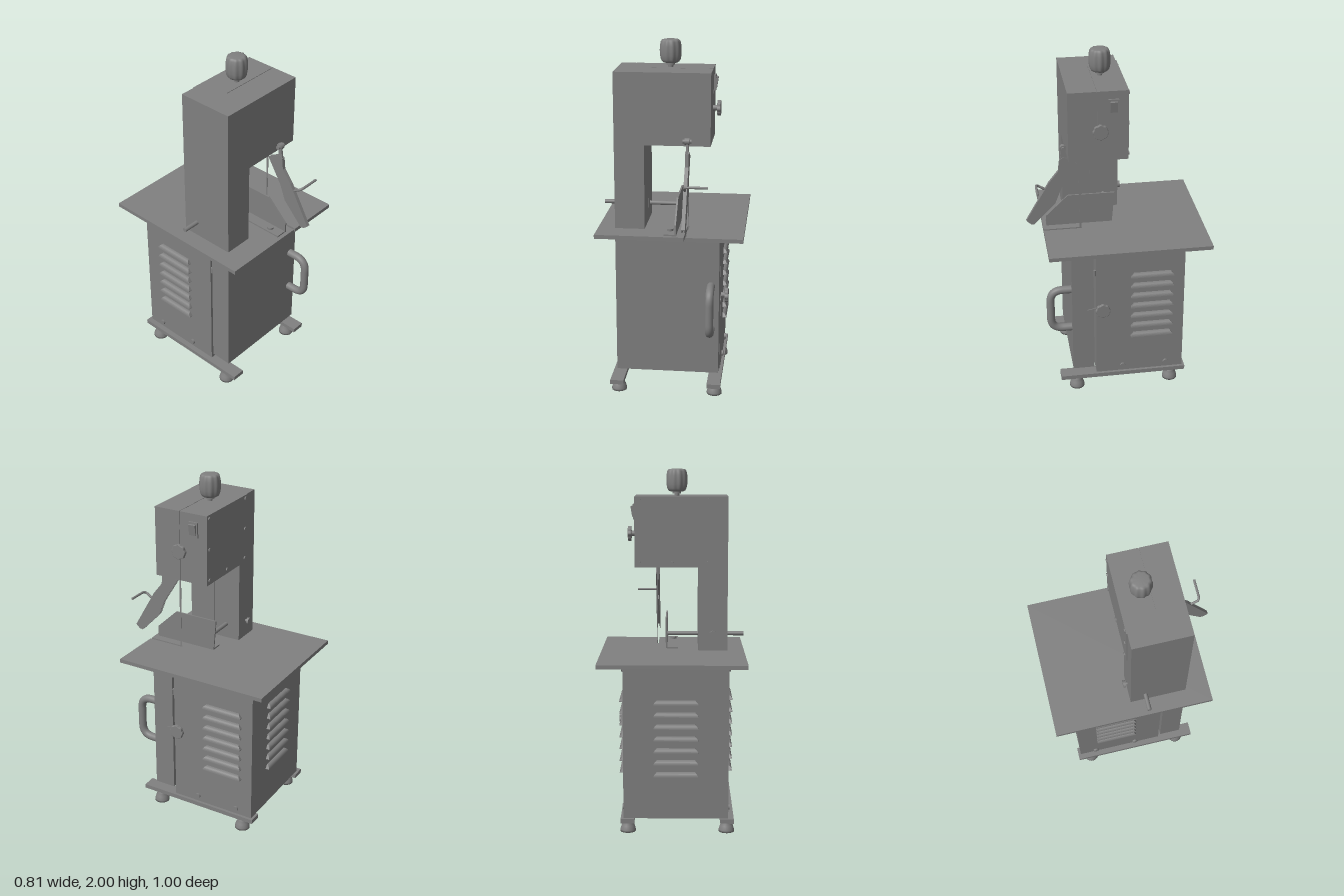
import * as THREE from 'three';

const mat = new THREE.MeshStandardMaterial({ color: 0x808080, side: THREE.DoubleSide });

export function createModel() {
  const root = new THREE.Group();
  const add = (name, geo, x = 0, y = 0, z = 0) => {
    const m = new THREE.Mesh(geo, mat);
    m.name = name;
    m.position.set(x, y, z);
    root.add(m);
    return m;
  };
  // box given by its limits on each axis
  const box = (name, x0, x1, y0, y1, z0, z1) =>
    add(name, new THREE.BoxGeometry(x1 - x0, y1 - y0, z1 - z0), (x0 + x1) / 2, (y0 + y1) / 2, (z0 + z1) / 2);
  // cylinder along a chosen axis, centred on the point
  const rod = (name, axis, r, len, x, y, z, sides = 20) => {
    const g = new THREE.CylinderGeometry(r, r, len, sides);
    if (axis === 'x') g.rotateZ(Math.PI / 2);
    if (axis === 'z') g.rotateX(Math.PI / 2);
    return add(name, g, x, y, z);
  };
  const shapeOf = pts => new THREE.Shape(pts.map(p => new THREE.Vector2(p[0], p[1])));
  const extrude = (shape, depth, extra = {}) =>
    new THREE.ExtrudeGeometry(shape, { depth, bevelEnabled: false, curveSegments: 8, ...extra });
  // outline in (z, y), extruded along +x
  const sidePlate = (name, pts, x, depth) => {
    const g = extrude(shapeOf(pts.map(([z, y]) => [-z, y])), depth);
    g.rotateY(Math.PI / 2);
    return add(name, g, x, 0, 0);
  };

  // Table with blade slot open to the front edge
  const table = extrude(shapeOf([[-0.405, -0.405], [0.085, -0.405], [0.085, -0.19], [0.097, -0.19],
    [0.097, -0.405], [0.405, -0.405], [0.405, 0.5], [-0.405, 0.5]]), 0.022);
  table.rotateX(-Math.PI / 2);
  add('table', table, 0, 0.96, 0);

  // Cabinet and front door, parted by an open gap bridged by hinges and a latch
  box('cabinet', -0.31, 0.27, 0.095, 0.96, -0.375, 0.135);
  box('cabinetDoor', -0.31, 0.27, 0.136, 0.955, 0.148, 0.272);
  box('slotRail', 0.01, 0.273, 0.94, 0.96, 0.15, 0.275);
  for (const x of [-0.304, 0.264]) rod('doorHinge', 'y', 0.008, 0.035, x, 0.78, 0.142, 10);
  box('doorLatch', 0.268, 0.274, 0.542, 0.548, 0.1, 0.185).rotation.x = 0.2;

  // Louvres: curved top, flat underside
  const hood = new THREE.Shape();
  hood.moveTo(0, 0);
  hood.lineTo(0.023, 0);
  hood.quadraticCurveTo(0.021, 0.022, 0, 0.024);
  const louvre = extrude(hood, 0.245);
  louvre.translate(0, -0.012, -0.1225);
  // round the upper corners of both ends
  const lp = louvre.attributes.position;
  for (let i = 0; i < lp.count; i++) {
    const t = (lp.getY(i) + 0.012) / 0.024;
    lp.setZ(i, lp.getZ(i) - Math.sign(lp.getZ(i)) * 0.018 * t * t);
  }
  louvre.computeVertexNormals();
  for (let i = 0; i < 7; i++) {
    const y = 0.35 + i * 0.0672;
    add('rightLouvre', louvre, 0.27, y, -0.187);
    add('leftLouvre', louvre, -0.31, y, -0.14).rotation.y = Math.PI;
    add('backLouvre', louvre, -0.02, y, -0.375).rotation.y = Math.PI / 2;
  }

  // Cabinet side screws
  for (const y of [0.13, 0.92]) for (const z of [-0.02, -0.275]) {
    rod('cabinetScrew', 'x', 0.016, 0.012, 0.275, y, z, 16);
    rod('cabinetScrew', 'x', 0.016, 0.012, -0.315, y, z, 16);
  }

  // Base rails with feet and bolts
  const foot = new THREE.LatheGeometry([[0, 0], [0.043, 0], [0.043, 0.012], [0.036, 0.035], [0.027, 0.05],
    [0.025, 0.07], [0, 0.07]].map(p => new THREE.Vector2(...p)), 24);
  for (const x of [-0.303, 0.248]) {
    box('baseRail', x - 0.038, x + 0.038, 0.07, 0.095, -0.39, 0.345);
    for (const z of [0.25, -0.307]) add('foot', foot, x, 0, z);
    for (const z of [0.09, 0.03]) rod('railBolt', 'y', 0.02, 0.014, x, 0.064, z, 6);
  }

  // Door handle
  const path = new THREE.CurvePath();
  const V = (y, z) => new THREE.Vector3(0.225, y, z);
  path.add(new THREE.LineCurve3(V(0.661, 0.265), V(0.661, 0.32)));
  path.add(new THREE.QuadraticBezierCurve3(V(0.661, 0.32), V(0.661, 0.391), V(0.59, 0.391)));
  path.add(new THREE.LineCurve3(V(0.59, 0.391), V(0.476, 0.391)));
  path.add(new THREE.QuadraticBezierCurve3(V(0.476, 0.391), V(0.405, 0.391), V(0.405, 0.32)));
  path.add(new THREE.LineCurve3(V(0.405, 0.32), V(0.405, 0.265)));
  add('doorHandle', new THREE.TubeGeometry(path, 60, 0.023, 16));

  // Upper frame: column and wheel head, front and rear halves with a seam
  const frame = shapeOf([[-0.31, 0.98], [-0.145, 0.98], [-0.145, 1.455], [0.215, 1.455], [0.215, 1.85], [-0.31, 1.85]]);
  add('frameRear', extrude(frame, 0.163), 0, 0, -0.05);
  add('frameFront', extrude(frame, 0.154), 0, 0, 0.116);
  box('frameJoint', -0.31, -0.147, 0.98, 1.85, 0.112, 0.118);
  box('seamFill', -0.2, 0.211, 1.459, 1.846, 0.112, 0.118);

  // Rear cover with screws
  box('rearCover', -0.225, 0.215, 1.455, 1.85, -0.055, -0.05);
  for (const x of [-0.195, 0.19]) for (const y of [1.48, 1.655, 1.83])
    rod('coverScrew', 'z', 0.011, 0.008, x, y, -0.057, 12);
  rod('coverScrew', 'z', 0.011, 0.008, 0.005, 1.48, -0.057, 12);

  // Lobed side knobs
  const star = new THREE.Shape();
  for (let i = 0; i <= 64; i++) {
    const a = i / 64 * Math.PI * 2, r = 0.038 + 0.002 * Math.cos(8 * a);
    if (i) star.lineTo(r * Math.cos(a), r * Math.sin(a));
    else star.moveTo(r, 0);
  }
  const sideKnob = extrude(star, 0.014, { bevelEnabled: true, bevelSize: 0.003, bevelThickness: 0.003, bevelSegments: 2 });
  sideKnob.rotateY(Math.PI / 2);
  for (const [x, y] of [[0.215, 1.635], [0.27, 0.547]]) {
    add('lockKnob', sideKnob, x + 0.026, y, 0.1);
    rod('lockKnobStem', 'x', 0.015, 0.03, x + 0.012, y, 0.1);
  }

  // Fluted tension knob on top
  const tension = new THREE.LatheGeometry([[0, 0], [0.038, 0], [0.046, 0.005], [0.053, 0.018], [0.057, 0.04], [0.058, 0.065],
    [0.057, 0.09], [0.053, 0.112], [0.047, 0.122], [0.038, 0.125], [0, 0.125]].map(p => new THREE.Vector2(...p)), 80);
  const tp = tension.attributes.position;
  for (let i = 0; i < tp.count; i++) {
    const k = 1 + 0.035 * Math.cos(10 * Math.atan2(tp.getZ(i), tp.getX(i)));
    tp.setXYZ(i, tp.getX(i) * k, tp.getY(i), tp.getZ(i) * k);
  }
  tension.computeVertexNormals();
  add('tensionKnob', tension, -0.022, 1.875, 0.067);
  rod('tensionCollar', 'y', 0.024, 0.014, -0.022, 1.87, 0.067);
  rod('tensionStem', 'y', 0.014, 0.03, -0.022, 1.86, 0.067);

  // Power switch
  box('switchFrame', 0.215, 0.225, 1.72, 1.806, -0.002, 0.054);
  box('switchRocker', 0.222, 0.234, 1.735, 1.795, 0.006, 0.046).rotation.z = -0.15;

  // Saw blade
  box('blade', 0.0895, 0.0915, 0.962, 1.46, 0.191, 0.202);

  // Fence with foot, clamp screw and sliding rod
  sidePlate('fence', [[0.385, 0.983], [0.385, 1.045], [0.26, 1.165], [-0.005, 1.165], [0.01, 0.983]], 0.032, 0.009);
  box('fenceFoot', -0.028, 0.034, 0.982, 0.99, 0.01, 0.383);
  rod('fenceScrew', 'y', 0.018, 0.012, 0, 0.996, 0.305);
  rod('fenceRod', 'x', 0.012, 0.44, -0.185, 1.067, 0.035);
  rod('rodLockStem', 'z', 0.009, 0.02, -0.227, 1.077, -0.055);
  rod('rodLockKnob', 'z', 0.02, 0.014, -0.227, 1.077, -0.068);

  // Swinging pusher arm: channel made of two cheeks and a web
  const arm = [[0.307, 1.417], [0.285, 1.432], [0.21, 1.39], [0.30, 1.245], [0.335, 1.155],
    [0.455, 1.03], [0.475, 1.032], [0.5, 1.055], [0.37, 1.28], [0.315, 1.35]];
  sidePlate('armCheek', arm, 0.081, 0.004);
  sidePlate('armCheek', arm, 0.097, 0.004);
  sidePlate('armWeb', [[0.307, 1.417], [0.315, 1.35], [0.37, 1.28], [0.5, 1.055], [0.492, 1.05],
    [0.362, 1.276], [0.307, 1.346], [0.299, 1.417]], 0.081, 0.02);

  // Pivot joining the arm to the head
  rod('pivotPin', 'x', 0.011, 0.048, 0.09, 1.485, 0.285);
  rod('pivotBoss', 'x', 0.018, 0.026, 0.09, 1.485, 0.285);
  box('pivotBracket', 0.08, 0.1, 1.473, 1.497, 0.268, 0.285);
  sidePlate('pivotLink', [[0.292, 1.49], [0.272, 1.48], [0.28, 1.4], [0.305, 1.4]], 0.086, 0.01);

  // Bent arm handle
  const grip = new THREE.CatmullRomCurve3([[0.09, 1.225, 0.365], [0.09, 1.25, 0.405], [0.092, 1.266, 0.43],
    [0.102, 1.271, 0.438], [0.13, 1.272, 0.44], [0.215, 1.272, 0.44]].map(p => new THREE.Vector3(...p)));
  add('armHandle', new THREE.TubeGeometry(grip, 40, 0.007, 10));
  rod('armHandleTip', 'x', 0.007, 0.002, 0.215, 1.272, 0.44, 10);
  return root;
}
